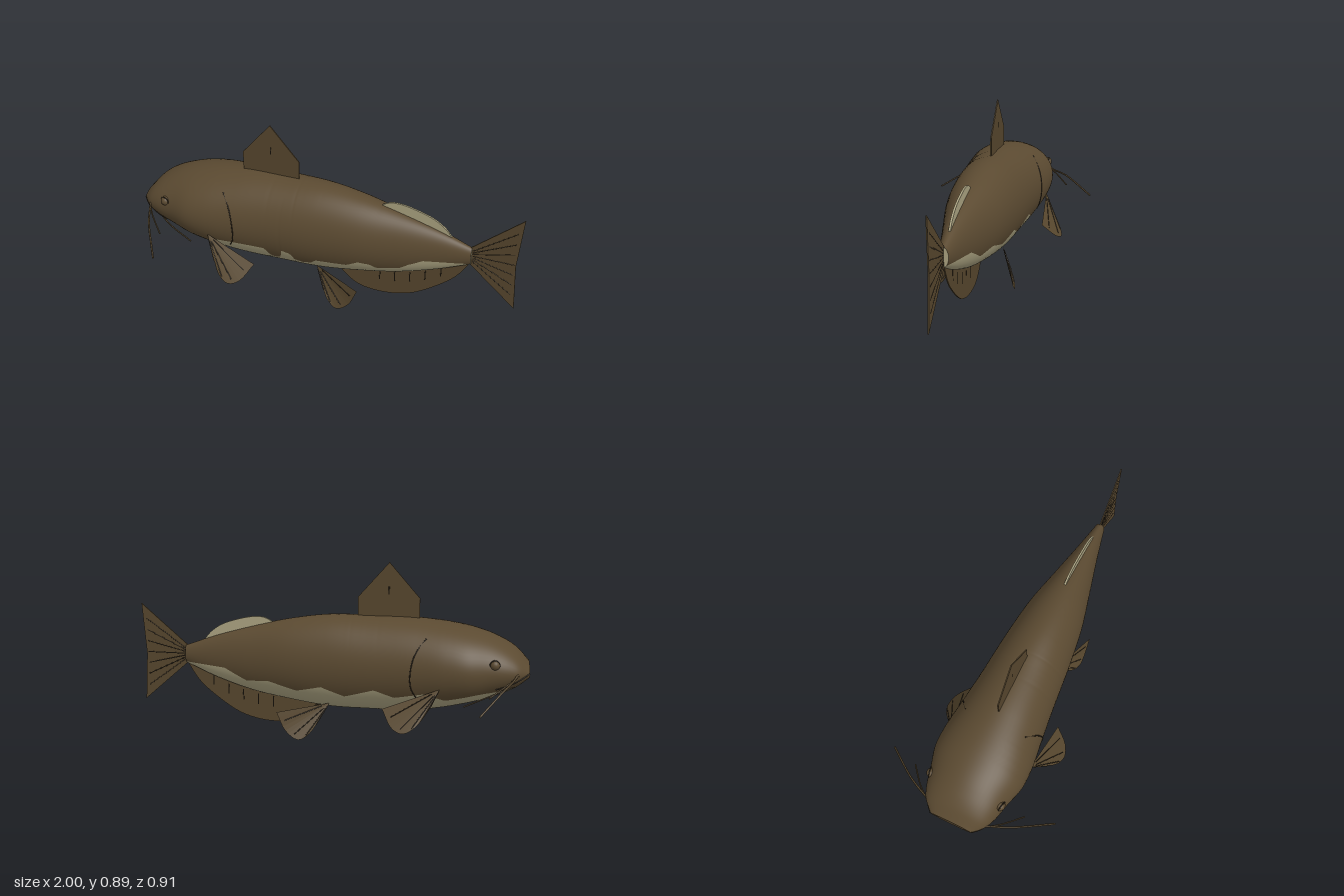
import * as THREE from 'three';

const mat = (name, color, side = THREE.FrontSide) => {
  const m = new THREE.MeshStandardMaterial({ color, side });
  m.name = name;
  return m;
};

// Smooth and straight interpolation through [x, value] pairs
const curve = (Type, pairs) => {
  const f = new Type(pairs.map(p => p[0]), pairs.map(p => p[1]), 1);
  return x => f.evaluate(x)[0];
};
const smooth = pairs => curve(THREE.CubicInterpolant, pairs);
const linear = pairs => curve(THREE.LinearInterpolant, pairs);

// Body outline: back, belly and half width along the length
const top = smooth([[-1, 0.415], [-0.94, 0.48], [-0.84, 0.54], [-0.7, 0.584], [-0.45, 0.617], [-0.2, 0.62],
  [0, 0.618], [0.2, 0.59], [0.4, 0.543], [0.6, 0.485], [0.765, 0.425]]);
const bottom = smooth([[-1, 0.345], [-0.94, 0.295], [-0.84, 0.245], [-0.7, 0.2], [-0.45, 0.147], [-0.2, 0.138],
  [0, 0.14], [0.2, 0.165], [0.4, 0.2], [0.6, 0.262], [0.765, 0.332]]);
const width = smooth([[-1, 0.11], [-0.95, 0.16], [-0.9, 0.185], [-0.8, 0.212], [-0.7, 0.24], [-0.6, 0.242],
  [-0.45, 0.225], [-0.3, 0.208], [0, 0.18], [0.2, 0.153], [0.4, 0.107], [0.6, 0.06], [0.765, 0.025]]);

// Ragged upper edge of the pale belly on each flank
const edgeLeft = linear([[-1, 0.355], [-0.93, 0.31], [-0.8, 0.285], [-0.68, 0.285], [-0.65, 0.245], [-0.61, 0.225],
  [-0.58, 0.25], [-0.56, 0.285], [-0.4, 0.285], [-0.27, 0.28], [-0.25, 0.225], [-0.22, 0.21], [-0.19, 0.225],
  [-0.18, 0.285], [-0.13, 0.27], [-0.12, 0.225], [-0.08, 0.208], [-0.03, 0.22], [0, 0.25], [0.16, 0.25],
  [0.22, 0.285], [0.28, 0.275], [0.31, 0.25], [0.42, 0.265], [0.47, 0.3], [0.54, 0.335], [0.765, 0.34]]);
const edgeRight = linear([[-1, 0.355], [-0.93, 0.31], [-0.75, 0.285], [-0.6, 0.25], [-0.5, 0.285], [-0.35, 0.25],
  [-0.25, 0.285], [-0.1, 0.235], [0.02, 0.28], [0.15, 0.245], [0.3, 0.285], [0.42, 0.27], [0.54, 0.33], [0.765, 0.34]]);

// Point on the flank at a given length and height
function flank(x, y, side = 1, lift = 0) {
  const cy = (top(x) + bottom(x)) / 2, hy = (top(x) - bottom(x)) / 2;
  const t = THREE.MathUtils.clamp((y - cy) / hy, -1, 1);
  return new THREE.Vector3(x, y, side * (width(x) * Math.sqrt(1 - t * t) + lift));
}

// Lofted ellipses; group 0 is the back, group 1 the belly
function bodyGeometry() {
  const stations = 180, belly = 24, back = 40, ring = belly + back;
  const pos = [], backIdx = [], bellyIdx = [];
  for (let i = 0; i <= stations; i++) {
    const x = -1 + 1.765 * i / stations;
    const cy = (top(x) + bottom(x)) / 2, hy = (top(x) - bottom(x)) / 2, w = width(x);
    const angle = y => Math.acos(THREE.MathUtils.clamp((cy - y) / hy, -0.95, 0.99));
    const l = angle(edgeLeft(x)), r = angle(edgeRight(x));
    for (let j = 0; j < ring; j++) {
      const a = j < belly ? -r + (l + r) * j / belly
        : l + (2 * Math.PI - l - r) * (j - belly) / back;
      pos.push(x, cy - hy * Math.cos(a), w * Math.sin(a));
      if (i === stations) continue;
      const p = i * ring + j, q = i * ring + (j + 1) % ring;
      (j < belly ? bellyIdx : backIdx).push(p, p + ring, q, q, p + ring, q + ring);
    }
  }
  const g = new THREE.BufferGeometry();
  g.setAttribute('position', new THREE.Float32BufferAttribute(pos, 3));
  g.setIndex([...backIdx, ...bellyIdx]);
  g.addGroup(0, backIdx.length, 0);
  g.addGroup(backIdx.length, bellyIdx.length, 1);
  g.computeVertexNormals();
  return g;
}

export function createModel() {
  const model = new THREE.Group();
  const brown = mat('brown skin', 0x5b4a31);
  const pale = mat('pale belly', 0xaaa280);
  const finBrown = mat('brown fin', 0x56462d, THREE.DoubleSide);
  const dark = mat('dark markings', 0x2b2318);
  const add = (name, geometry, material, parent = model) => {
    const m = new THREE.Mesh(geometry, material);
    m.name = name;
    parent.add(m);
    return m;
  };
  const v = p => new THREE.Vector3(...p);
  const tube = (name, points, r, material, parent) =>
    add(name, new THREE.TubeGeometry(new THREE.CatmullRomCurve3(points), 20, r, 6), material, parent);

  add('body', bodyGeometry(), [brown, pale]);

  // Blunt ends of the body
  const cap = (name, x, material, dir) => {
    const m = add(name, new THREE.CircleGeometry(1, 40), material);
    m.scale.set(width(x), (top(x) - bottom(x)) / 2, 1);
    m.rotation.y = dir * Math.PI / 2;
    m.position.set(x, (top(x) + bottom(x)) / 2, 0);
  };
  cap('snout', -1, brown, -1);
  cap('tailRoot', 0.765, pale, 1);

  // Upright fins on the centre line
  const plate = (name, points, depth, material) => {
    const shape = new THREE.Shape(points.map(p => new THREE.Vector2(...p)));
    const g = new THREE.ExtrudeGeometry(shape, { depth, bevelEnabled: false });
    return add(name, g.translate(0, 0, -depth / 2), material);
  };
  const rounded = pts => new THREE.SplineCurve(pts.map(p => new THREE.Vector2(...p)))
    .getPoints(30).map(p => [p.x, p.y]);
  plate('dorsalFin', [[-0.455, 0.59], [-0.145, 0.59], [-0.145, 0.715], [-0.3, 0.892], [-0.455, 0.715]], 0.006, finBrown);
  plate('adiposeFin', [[0.66, 0.42], ...rounded([[0.66, 0.465], [0.62, 0.51], [0.55, 0.553], [0.43, 0.588],
    [0.35, 0.592], [0.3, 0.57]]), [0.3, 0.53]], 0.01, pale);
  plate('analFin', [[0.75, 0.36], [0.06, 0.18], ...rounded([[0.06, 0.15], [0.13, 0.08], [0.2, 0.042], [0.3, 0.032],
    [0.4, 0.045], [0.5, 0.082], [0.62, 0.165], [0.7, 0.24], [0.757, 0.33]])], 0.006, finBrown);
  plate('tailFin', [[0.755, 0.335], [1, 0.12], [0.983, 0.37], [1, 0.64], [0.755, 0.425]], 0.006, finBrown);

  // Dark rays on the upright fins
  const ray = (a, b) => tube('finRay', [v([...a, 0]), v([...b, 0])], 0.0045, dark);
  for (let i = 0; i < 7; i++) {
    const t = (i + 0.5) / 7;
    ray([0.77, 0.345 + 0.07 * t], [0.975, 0.17 + 0.42 * t]);
  }
  [[0.3, 0.11], [0.38, 0.12], [0.46, 0.14], [0.54, 0.17], [0.62, 0.215]].forEach(([x, y]) => ray([x, y], [x, y + 0.06]));
  ray([-0.3, 0.73], [-0.3, 0.77]);

  for (const side of [1, -1]) {
    const label = side > 0 ? 'left' : 'right';
    const mirror = p => new THREE.Vector3(p[0], p[1], p[2] * side);

    // Paired fins: a fan of faces from the root, with rays
    const fan = (name, root, rim) => {
      const fin = new THREE.Group();
      fin.name = label + name;
      model.add(fin);
      const c = mirror(root);
      const pts = new THREE.CatmullRomCurve3(rim.map(mirror)).getPoints(16);
      const pos = [];
      for (let i = 0; i < 16; i++) pos.push(...c, ...pts[i], ...pts[i + 1]);
      const g = new THREE.BufferGeometry();
      g.setAttribute('position', new THREE.Float32BufferAttribute(pos, 3));
      g.computeVertexNormals();
      add('finBlade', g, finBrown, fin);
      for (let i = 2; i < 16; i += 4)
        tube('finRay', [c.clone().lerp(pts[i], 0.15), c.clone().lerp(pts[i], 0.92)], 0.0025, dark, fin);
    };
    fan('PectoralFin', [-0.575, 0.318, 0.225], [[-0.54, 0.24, 0.25], [-0.47, 0.155, 0.325], [-0.41, 0.123, 0.342],
      [-0.355, 0.14, 0.32], [-0.3, 0.213, 0.25]]);
    fan('PelvicFin', [-0.015, 0.178, 0.095], [[0.03, 0.1, 0.14], [0.075, 0.035, 0.175], [0.13, 0.005, 0.192],
      [0.195, 0.05, 0.192], [0.24, 0.145, 0.19]]);

    // Barbels around the mouth
    tube(label + 'LongBarbel', [[-0.95, 0.4, 0.14], [-0.92, 0.37, 0.21], [-0.88, 0.35, 0.29], [-0.77, 0.265, 0.452]].map(mirror), 0.005, finBrown);
    tube(label + 'ShortBarbel', [[-0.96, 0.39, 0.14], [-0.9, 0.36, 0.22], [-0.81, 0.31, 0.305]].map(mirror), 0.004, finBrown);
    tube(label + 'ChinBarbel', [[-0.93, 0.32, 0.12], [-0.82, 0.285, 0.18], [-0.69, 0.23, 0.205]].map(mirror), 0.004, finBrown);

    // Eye with a dark rim
    const eye = add(label + 'Eye', new THREE.SphereGeometry(0.025, 20, 14), brown);
    eye.position.copy(flank(-0.83, 0.44, side, -0.008));
    const rim = add(label + 'EyeRim', new THREE.TorusGeometry(0.024, 0.003, 6, 28), dark);
    rim.position.copy(flank(-0.83, 0.44, side, 0));
    rim.rotation.y = -side * 0.2;

    // Gill cover edge and mouth line
    tube(label + 'GillLine', [[-0.5, 0.55], [-0.45, 0.48], [-0.43, 0.39], [-0.435, 0.31], [-0.46, 0.26]]
      .map(([x, y]) => flank(x, y, side)), 0.003, dark);
    tube(label + 'MouthLine', [[-0.999, 0.385], [-0.96, 0.365], [-0.9, 0.335], [-0.84, 0.315]]
      .map(([x, y]) => flank(x, y, side)), 0.004, dark);
  }
  return model;
}
